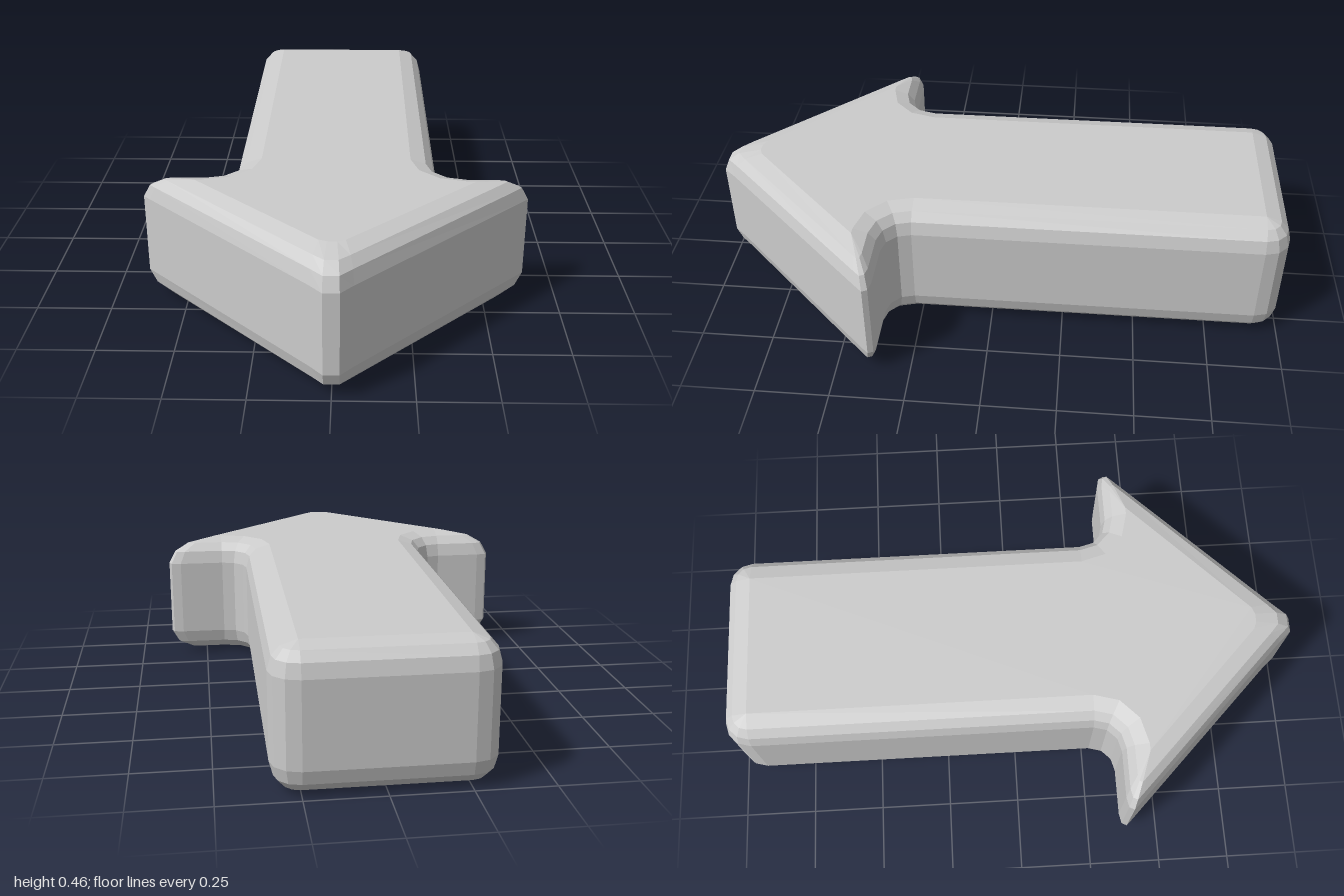
import * as THREE from 'three';

const HEIGHT = 0.455, BEVEL = 0.09, STEPS = 3;

// Half outline from the shaft's back end to the tip.
// Each entry pairs the outer wall point with the edge of the flat face: [x, z, innerX, innerZ]
function halfOutline() {
  const pts = [];
  // rounded back corner of the shaft
  for (let i = 0; i <= STEPS; i++) {
    const a = (i / STEPS) * Math.PI / 2;
    pts.push([0.25 + BEVEL * Math.sin(a), -0.91 - BEVEL * Math.cos(a), 0.25, -0.91]);
  }
  // concave fillet between shaft and head
  for (let i = 0; i <= STEPS; i++) {
    const a = (i / STEPS) * Math.PI / 2, c = Math.cos(a), s = Math.sin(a);
    pts.push([0.43 - 0.09 * c, 0.27 + 0.09 * s, 0.43 - 0.18 * c, 0.27 + 0.175 * s]);
  }
  // wing corner, then blunt tip
  pts.push(
    [0.59, 0.36, 0.455, 0.445], [0.625, 0.367, 0.455, 0.445],
    [0.634, 0.385, 0.455, 0.445], [0.61, 0.41, 0.455, 0.445],
    [0.065, 0.955, 0.04, 0.85], [0.025, 1, 0.015, 0.86]
  );
  return pts;
}

function arrowGeometry() {
  const half = halfOutline();
  const loop = [...half, ...half.map(([x, z, u, v]) => [-x, z, -u, v]).reverse()];
  const n = loop.length;

  // rings up the height: lower bevel, wall, upper bevel
  const angles = [0, 30, 55, 90].map(THREE.MathUtils.degToRad);
  const levels = [
    ...angles.map(a => [BEVEL * (1 - Math.sin(a)), Math.cos(a)]).reverse(),
    ...angles.map(a => [HEIGHT - BEVEL * (1 - Math.sin(a)), Math.cos(a)])
  ];
  const rings = levels.map(([y, t]) => loop.map(([x, z, u, v]) =>
    new THREE.Vector3(u + (x - u) * t, y, v + (z - v) * t)));

  const positions = [];
  const tri = (a, b, c) => {
    const area = b.clone().sub(a).cross(c.clone().sub(a)).length();
    if (area > 1e-9) for (const p of [a, b, c]) positions.push(p.x, p.y, p.z);
  };
  for (let r = 0; r < rings.length - 1; r++) {
    for (let i = 0; i < n; i++) {
      const j = (i + 1) % n, low = rings[r], up = rings[r + 1];
      tri(low[i], up[i], up[j]);
      tri(low[i], up[j], low[j]);
    }
  }

  // flat top and bottom faces
  const cap = (ring, dir) => {
    const flat = ring.filter((p, i) => p.distanceTo(ring[(i + 1) % n]) > 1e-6);
    const faces = THREE.ShapeUtils.triangulateShape(flat.map(p => new THREE.Vector2(p.x, p.z)), []);
    for (const f of faces) {
      const [a, b, c] = f.map(k => flat[k]);
      const ny = b.clone().sub(a).cross(c.clone().sub(a)).y;
      if (ny * dir > 0) tri(a, b, c); else tri(a, c, b);
    }
  };
  cap(rings[rings.length - 1], 1);
  cap(rings[0], -1);

  const geo = new THREE.BufferGeometry();
  geo.setAttribute('position', new THREE.Float32BufferAttribute(positions, 3));
  geo.computeVertexNormals();
  return geo;
}

export function createModel() {
  const group = new THREE.Group();
  group.name = 'arrow';
  const mesh = new THREE.Mesh(arrowGeometry(),
    new THREE.MeshStandardMaterial({ color: 0xcccccc, flatShading: true }));
  mesh.name = 'arrowBody';
  group.add(mesh);
  return group;
}
